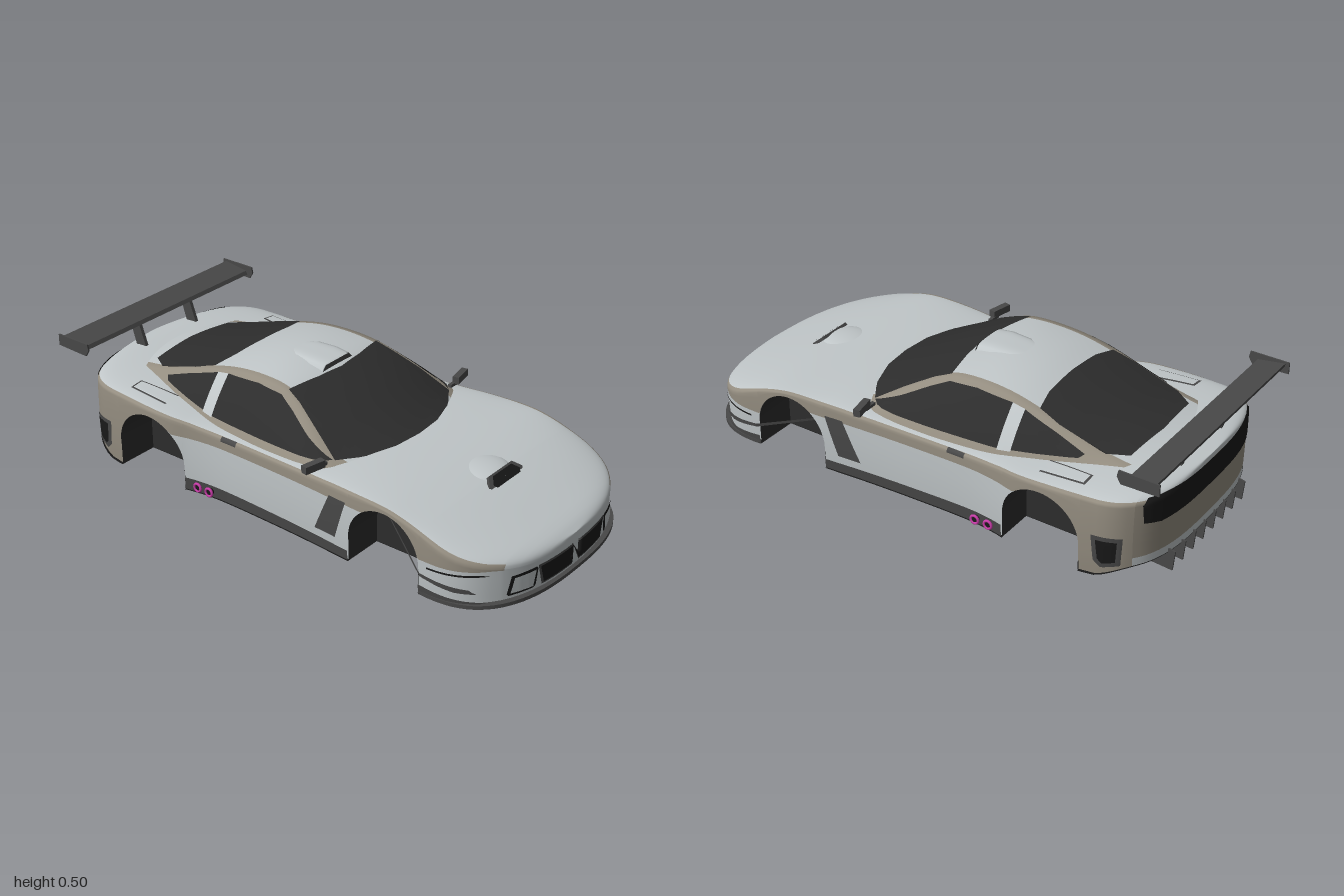
import * as THREE from 'three';

const paint = (name, color) => new THREE.MeshStandardMaterial({ name, color, side: THREE.DoubleSide });

// Smooth curve through [z, value] points, z descending
function curve(pts) {
  const slope = (i) => {
    const a = pts[Math.max(i - 1, 0)], b = pts[Math.min(i + 1, pts.length - 1)];
    return (b[1] - a[1]) / (b[0] - a[0]);
  };
  return (z) => {
    if (z >= pts[0][0]) return pts[0][1];
    for (let i = 0; i < pts.length - 1; i++) {
      const [z0, a] = pts[i], [z1, b] = pts[i + 1];
      if (z < z1) continue;
      const h = z1 - z0, t = (z - z0) / h, t2 = t * t, t3 = t2 * t;
      return (2 * t3 - 3 * t2 + 1) * a + (t3 - 2 * t2 + t) * h * slope(i)
        + (3 * t2 - 2 * t3) * b + (t3 - t2) * h * slope(i + 1);
    }
    return pts[pts.length - 1][1];
  };
}

// Grid surface; pick(i, j) chooses a material index per cell
function grid(rows, pick = () => 0, count = 1) {
  const nj = rows[0].length, buckets = Array.from({ length: count }, () => []);
  for (let i = 0; i < rows.length - 1; i++) for (let j = 0; j < nj - 1; j++) {
    const a = i * nj + j, b = a + nj;
    buckets[pick(i, j)].push(a, a + 1, b, b, a + 1, b + 1);
  }
  const g = new THREE.BufferGeometry();
  g.setAttribute('position', new THREE.Float32BufferAttribute(rows.flat(2), 3));
  g.setIndex(buckets.flat());
  let start = 0;
  buckets.forEach((b, m) => { g.addGroup(start, b.length, m); start += b.length; });
  g.computeVertexNormals();
  return g;
}

const range = (n, f) => Array.from({ length: n + 1 }, (_, i) => f(i / n));
const mirrored = (half) => [...half, ...half.slice(0, -1).reverse().map(([x, y, z]) => [-x, y, z])];

export function createModel() {
  const car = new THREE.Group();
  car.name = 'raceCar';
  const silver = paint('silver', 0xc0c6c8), taupe = paint('taupe', 0x948d80), grey = paint('darkGrey', 0x484848);
  const glass = paint('glass', 0x2d2d2d), black = paint('black', 0x191919), pink = paint('magenta', 0xc83ca8);
  const add = (name, geo, mat, x = 0, y = 0, z = 0) => {
    const m = new THREE.Mesh(geo, mat);
    m.name = name;
    m.position.set(x, y, z);
    car.add(m);
    return m;
  };
  const flip = (m) => { const c = m.clone(); c.scale.x = -1; c.position.x *= -1; c.rotation.y *= -1; c.rotation.z *= -1; car.add(c); };

  // Body profiles along z
  const baseW = curve([[1, .462], [.6, .46], [.4, .455], [.2, .44], [0, .43], [-.25, .425], [-.36, .436], [-.46, .458], [-.6, .461], [-.72, .455], [-.96, .44]]);
  const shoulder = curve([[.985, .13], [.92, .15], [.8, .185], [.7, .225], [.6, .262], [.515, .28], [.36, .28], [.2, .275], [0, .272], [-.3, .275], [-.45, .293], [-.6, .298], [-.75, .3], [-.957, .305]]);
  const deck = curve([[.985, .155], [.95, .178], [.87, .208], [.75, .247], [.65, .273], [.5, .295], [.33, .306], [.2, .302], [-.3, .302], [-.5, .318], [-.6, .33], [-.75, .342], [-.88, .347], [-.957, .338]]);
  const cap = (t, p) => Math.pow(Math.max(0, 1 - Math.pow(THREE.MathUtils.clamp(t, 0, 1), p)), 1 / p);
  const width = (z) => baseW(z) * cap((z - .7) / .285, 2.4) * cap((-.72 - z) / .237, 3);
  const base = (z) => .02 + .05 * THREE.MathUtils.smoothstep(-z, .74, .9);
  const arches = [{ c: .515, r: .15, y: .116 }, { c: -.555, r: .155, y: .12 }];
  const archAt = (z) => arches.find((a) => Math.abs(z - a.c) <= a.r + 1e-6);
  const lower = (z) => {
    const a = archAt(z);
    return a ? a.y + Math.sqrt(Math.max(0, a.r ** 2 - (z - a.c) ** 2)) : base(z);
  };
  const split = (z) => (z > .6 ? .15 : z > -.6 ? .235 : .1);

  // Stations, bunched at the nose, tail and arch edges
  const stations = [
    ...range(16, (t) => .7 + .285 * Math.pow(Math.sin(t * Math.PI / 2), 2 / 2.4)),
    ...range(16, (t) => -.72 - .237 * Math.pow(Math.sin(t * Math.PI / 2), 2 / 3)),
    ...arches.flatMap((a) => [a.c + a.r + 1e-4, ...range(24, (t) => a.c + a.r * Math.cos(t * Math.PI)), a.c - a.r - 1e-4]),
    ...range(16, (t) => .34 - .72 * t), .92, -.88,
  ].sort((a, b) => b - a);

  // Lower body shell
  const section = (z) => {
    const w = width(z), yb = lower(z), ys = shoulder(z), ym = Math.max(yb, Math.min(split(z), ys - .005)), yc = deck(z);
    const side = (y) => [w * (1 - .02 * ((.2 - y) / .18) ** 2), y, z];
    const xs = side(ys)[0];
    return mirrored([
      ...range(4, (t) => side(yb + (ym - yb) * t)),
      ...range(4, (t) => side(ym + (ys - ym) * t)).slice(1),
      ...range(12, (t) => [xs * Math.pow(Math.max(0, Math.cos(t * Math.PI / 2)), .77), ys + (yc - ys) * Math.pow(Math.sin(t * Math.PI / 2), .77), z]).slice(1),
    ]);
  };
  const bodyColour = (i, j) => {
    const z = (stations[i] + stations[i + 1]) / 2, k = Math.min(j, 39 - j);
    if (k < 4) return z < -.65 && z > -.88 ? 1 : 0;
    return k < 10 && z < .92 ? 1 : 0;
  };
  const body = add('body', grid(stations.map(section), bodyColour, 2), [silver, taupe]);

  // Cabin: z, base half-width, roof edge half-width, edge height, centre height
  const frames = [[.34, .37, .3, .26, .298], [.22, .40, .345, .3, .357], [.1, .41, .315, .375, .415], [0, .41, .28, .43, .455], [-.07, .408, .262, .458, .477], [-.18, .4, .258, .466, .492],
    [-.3, .39, .258, .458, .482], [-.42, .372, .26, .432, .452], [-.55, .348, .26, .39, .414], [-.66, .328, .26, .355, .383], [-.78, .312, .255, .335, .355], [-.88, .3, .25, .322, .338]];
  const [xb, xr, yr, yc] = [1, 2, 3, 4].map((k) => curve(frames.map((f) => [f[0], f[k]])));
  const cabinRows = range(48, (s) => {
    const z = .34 - 1.22 * s, lo = Math.min(.27, yr(z) - .02);
    return mirrored([
      ...range(5, (t) => [xb(z) + (xr(z) - xb(z)) * t + .01 * Math.sin(t * Math.PI), lo + (yr(z) - lo) * t, z]),
      ...range(10, (t) => [xr(z) * (1 - t), yr(z) + (yc(z) - yr(z)) * (1 - (1 - t) ** 2), z]).slice(1),
    ]);
  });
  const cabin = add('cabin', grid(cabinRows, (i, j) => (Math.min(j, 29 - j) < 6 ? 1 : 0), 2), [silver, taupe]);

  // Thin panel laid on the shell: outline is projected along an axis
  const ray = new THREE.Raycaster(), shell = [body, cabin];
  const project = { x: (u, v) => [[5, v, u], [-1, 0, 0]], y: (u, v) => [[u, 5, v], [0, -1, 0]], z: (u, v) => [[u, v, 5], [0, 0, -1]], back: (u, v) => [[u, v, -5], [0, 0, 1]] };
  function panel(name, axis, mat, outline, off = .004, both = axis === 'x') {
    const list = outline.map((p) => p[0]), u0 = Math.min(...list), u1 = Math.max(...list);
    const us = [...new Set([...list, ...range(20, (t) => u0 + (u1 - u0) * t)])].sort((a, b) => a - b);
    let last = [0, .2, 0];
    const rows = us.map((u) => {
      let lo = Infinity, hi = -Infinity;
      outline.forEach((a, i) => {
        const b = outline[(i + 1) % outline.length];
        if (u < Math.min(a[0], b[0]) - 1e-9 || u > Math.max(a[0], b[0]) + 1e-9) return;
        const vs = a[0] === b[0] ? [a[1], b[1]] : [a[1] + (b[1] - a[1]) * (u - a[0]) / (b[0] - a[0])];
        lo = Math.min(lo, ...vs);
        hi = Math.max(hi, ...vs);
      });
      return range(10, (t) => {
        const [o, d] = project[axis](u, lo + (hi - lo) * t).map((p) => new THREE.Vector3(...p));
        ray.set(o, d);
        const hit = ray.intersectObjects(shell, false)[0];
        if (!hit) return last;
        const n = hit.face.normal.clone();
        if (n.dot(d) > 0) n.negate();
        return (last = hit.point.addScaledVector(n, off).toArray());
      });
    });
    const m = add(name, grid(rows), mat);
    if (both) flip(m);
  }
  const sym = (half) => [...half, ...half.slice().reverse().map(([u, v]) => [-u, v])];

  // Glazing
  panel('windscreen', 'y', glass, sym([[0, .33], [.12, .32], [.24, .28], [.335, .215], [.3, .1], [.265, 0], [.25, -.06], [.12, -.035], [0, -.022]]));
  panel('rearWindow', 'y', glass, sym([[0, -.39], [.15, -.395], [.24, -.415], [.252, -.5], [.245, -.68], [.2, -.75], [0, -.765]]));
  panel('doorWindow', 'x', glass, [[.21, .307], [.1, .358], [0, .412], [-.07, .445], [-.18, .453], [-.325, .444], [-.325, .312]]);
  panel('doorPillar', 'x', silver, [[-.325, .444], [-.375, .435], [-.375, .312], [-.325, .308]]);
  panel('quarterWindow', 'x', glass, [[-.375, .434], [-.5, .393], [-.62, .35], [-.605, .338], [-.375, .317]]);

  // Side details
  panel('sideSill', 'x', grey, [[.363, .022], [.363, .06], [-.398, .072], [-.398, .022]], .007);
  panel('fenderVent', 'x', grey, [[.355, .247], [.28, .247], [.21, .09], [.305, .09]]);
  panel('rearSideVent', 'x', grey, [[-.755, .185], [-.855, .185], [-.85, .075], [-.79, .06], [-.765, .085]]);
  panel('rearSideVentInner', 'x', black, [[-.772, .17], [-.84, .17], [-.836, .09], [-.795, .078], [-.78, .095]], .006);
  panel('doorHandle', 'x', grey, [[-.16, .268], [-.16, .281], [-.23, .281], [-.23, .268]]);
  panel('bumperSlot', 'x', black, [[.89, .134], [.87, .141], [.7, .135], [.7, .128]]);
  panel('upperCanard', 'x', grey, [[.86, .068], [.84, .085], [.665, .105], [.665, .093], [.8, .07]], .008);
  panel('lowerCanard', 'x', grey, [[.9, .022], [.87, .035], [.667, .055], [.667, .022]], .008);
  panel('fenderTopVent', 'y', grey, [[.403, -.52], [.4, -.695], [.345, -.695], [.33, -.52]], .003, true);
  panel('fenderTopScoop', 'y', silver, [[.397, -.51], [.394, -.687], [.351, -.687], [.337, -.51]], .005, true);

  // Nose
  panel('grilleFrame', 'z', grey, sym([[.205, .121], [.185, .04]]));
  panel('grille', 'z', black, sym([[.195, .114], [.177, .047]]), .006);
  panel('headlampFrame', 'z', black, [[.205, .112], [.212, .119], [.31, .117], [.323, .05], [.317, .042], [.222, .042], [.213, .05]], .004, true);
  panel('headlamp', 'z', silver, [[.215, .11], [.3, .109], [.312, .052], [.226, .05]], .007, true);

  // Tail
  panel('tailPanel', 'back', black, sym([[.345, .322], [.37, .305], [.365, .235], [.3, .22]]));

  // Wheel wells, built as an arched liner and an inner wall
  for (const a of arches) {
    const path = [[a.c + a.r, .02], ...range(24, (t) => [a.c + a.r * Math.cos(t * Math.PI), a.y + a.r * Math.sin(t * Math.PI)]), [a.c - a.r, .02]];
    flip(add('wheelWell', grid(path.map(([z, y]) => [[.29, y, z], [width(z) - .003, y, z]])), glass));
    flip(add('wheelWellWall', grid(path.map(([z, y]) => [[.29, .02, z], [.29, y, z]])), glass));
  }

  // Floor and front splitter
  add('floor', grid(stations.map((z) => range(2, (t) => [(2 * t - 1) * (archAt(z) ? .29 : width(z)), base(z) - .002, z]))), black);
  const lip = range(40, (t) => {
    const a = t * Math.PI, c = Math.cos(a);
    return new THREE.Vector2(.462 * Math.sign(c) * Math.pow(Math.abs(c), .77), -.7 - .3 * Math.pow(Math.max(0, Math.sin(a)), .77));
  });
  const plan = new THREE.Shape([new THREE.Vector2(.46, -.667), ...lip, new THREE.Vector2(-.46, -.667)]);
  add('splitter', new THREE.ExtrudeGeometry(plan, { depth: .014, bevelEnabled: false }).rotateX(-Math.PI / 2), grey, 0, .015, 0);

  // Rear diffuser fins; side outlines are drawn as (z, y)
  const sideCut = (pts, depth) => new THREE.ExtrudeGeometry(new THREE.Shape(pts.map(([z, y]) => new THREE.Vector2(-z, y))), { depth, bevelEnabled: false })
    .rotateY(Math.PI / 2).translate(-depth / 2, 0, 0);
  const fin = sideCut([[-.77, .012], [-.96, 0], [-.967, .078], [-.93, .085], [-.77, .04]], .006);
  for (let i = 0; i < 8; i++) add('diffuserFin', fin, grey, -.252 + i * .072, 0, 0);

  // Rear wing
  add('wingBlade', sideCut([[-.872, .438], [-.88, .452], [-.985, .468], [-.985, .458], [-.93, .438]], .91), grey);
  flip(add('wingEndPlate', sideCut([[-.845, .45], [-.85, .474], [-1, .474], [-1, .43], [-.86, .425]], .006), grey, .457));
  flip(add('wingStrut', sideCut([[-.86, .335], [-.9, .445], [-.945, .445], [-.91, .335]], .014), grey, .14));

  // Door mirrors
  const mirror = add('doorMirror', new THREE.BoxGeometry(.085, .028, .026), grey, .432, .323, .2);
  mirror.rotation.y = .2;
  flip(mirror);
  flip(add('mirrorStem', new THREE.BoxGeometry(.05, .012, .014), grey, .39, .308, .2));

  // Side exhausts
  for (const z of [-.285, -.34]) {
    flip(add('exhaustRing', new THREE.TorusGeometry(.015, .005, 8, 20).rotateY(Math.PI / 2), pink, .441, .045, z));
    flip(add('exhaustPipe', new THREE.CylinderGeometry(.013, .013, .03, 16).rotateZ(Math.PI / 2), black, .427, .045, z));
  }

  // Hood scoop with a bulge behind it
  const hex = (s) => new THREE.Shape([[.1, 0], [.07, .035], [-.07, .035], [-.1, 0], [-.07, -.035], [.07, -.035]].map(([x, y]) => new THREE.Vector2(x * s, y * s)));
  const hood = add('hoodScoop', new THREE.ExtrudeGeometry(hex(1), { depth: .012, bevelEnabled: false }), grey, 0, .256, .69);
  const mouth = add('hoodScoopMouth', new THREE.ShapeGeometry(hex(.8)), black, 0, .267, .7005);
  hood.rotation.x = mouth.rotation.x = -.85;
  add('hoodBulge', new THREE.SphereGeometry(1, 24, 12).scale(.1, .026, .1), silver, 0, .264, .6);

  // Roof scoop
  const arc = (w, y0, h, z) => range(12, (t) => [(2 * t - 1) * w, y0 + h * Math.pow(Math.max(0, 1 - Math.abs(2 * t - 1) ** 4), .5), z]);
  add('roofScoop', grid([arc(.085, .465, .027, -.045), arc(.088, .475, .022, -.1), arc(.08, .475, .021, -.18), arc(.05, .47, .01, -.3)]), silver);
  const slot = new THREE.Shape([[.085, .467], [.066, .488], [-.066, .488], [-.085, .467]].map((p) => new THREE.Vector2(...p)));
  add('roofScoopMouth', new THREE.ShapeGeometry(slot), grey, 0, 0, -.041);

  return car;
}
